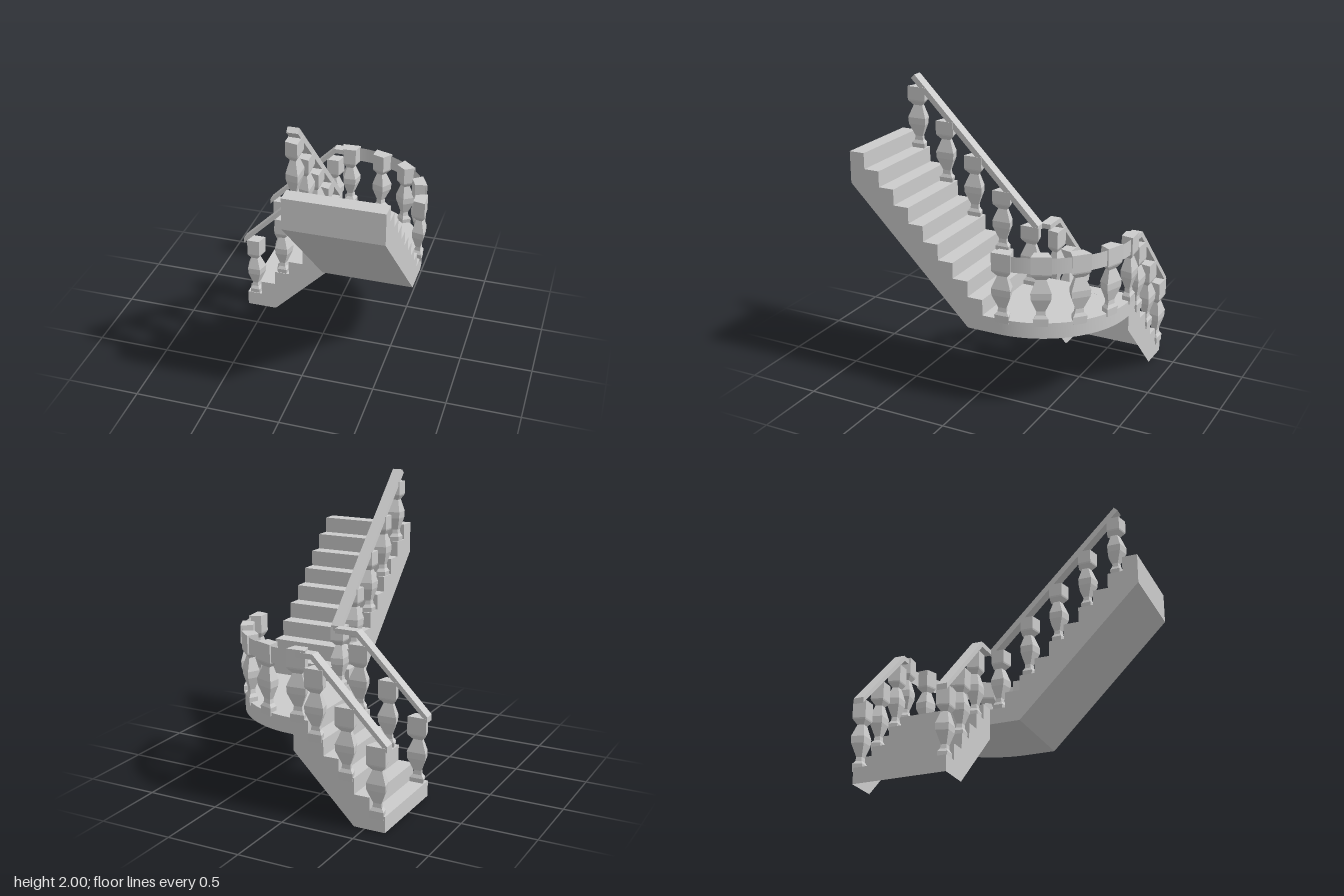
import * as THREE from 'three';
import { toCreasedNormals } from 'three/addons/utils/BufferGeometryUtils.js';

const STEP = 0.1066;           // rise and run of every step
const W = 0.64;                // stair width, also landing radius
const LAND = STEP * 6;         // landing height
const ZC = -0.204;             // centre line of the landing curve
const RAIL = 0.072;            // handrail width

const mat = new THREE.MeshStandardMaterial({ color: 0xcccccc, flatShading: true });
const thin = new THREE.MeshStandardMaterial({ color: 0xcccccc, flatShading: true, side: THREE.DoubleSide });
const smooth = new THREE.MeshStandardMaterial({ color: 0xcccccc });
const smoothThin = new THREE.MeshStandardMaterial({ color: 0xcccccc, side: THREE.DoubleSide });

function add(parent, name, geo, material = mat) {
  const m = new THREE.Mesh(geo, material);
  m.name = name;
  parent.add(m);
  return m;
}

const poly = pts => new THREE.Shape(pts.map(p => new THREE.Vector2(p[0], p[1])));
const prism = (pts, depth) => new THREE.ExtrudeGeometry(poly(pts), { depth, bevelEnabled: false });
// prism whose outline lies in (z, y) and which runs from x = 0 to x = depth
const prismX = (pts, depth) => prism(pts, depth).rotateY(-Math.PI / 2).translate(depth, 0, 0);

// zigzag of risers and treads
function zigzag(u0, y0, count) {
  const pts = [];
  for (let i = 0; i < count; i++) {
    const u = u0 + i * STEP, y = y0 + i * STEP;
    pts.push([u, y], [u, y + STEP]);
  }
  pts.push([u0 + count * STEP, y0 + count * STEP]);
  return pts;
}

// open sheet that carries an (x, y) line from z0 to z1
function sheet(pts, z0, z1) {
  const pos = [], idx = [];
  pts.forEach(([x, y], i) => {
    pos.push(x, y, z0, x, y, z1);
    const a = i * 2;
    if (i) idx.push(a - 2, a - 1, a + 1, a - 2, a + 1, a);
  });
  const g = new THREE.BufferGeometry();
  g.setAttribute('position', new THREE.Float32BufferAttribute(pos, 3));
  g.setIndex(idx);
  const flat = g.toNonIndexed();
  flat.computeVertexNormals();
  return flat;
}

// vase baluster with a wedge-shaped section, its narrow side facing +z
function balusterGeometry(top) {
  const profile = [[-0.022, 0.046], [0.03, 0.05], [0.052, 0.032], [0.08, 0.028], [0.165, 0.064],
    [0.21, 0.067], [0.295, 0.033], [0.325, 0.062], [0.335, 0.066], [top, 0.066]];
  const pos = [], idx = [];
  for (const [y, w] of profile) {
    const n = w * 0.68, d = w * 0.62;
    pos.push(-n, y, d, n, y, d, w, y, -d, -w, y, -d);
  }
  const last = (profile.length - 1) * 4;
  for (let r = 0; r < last; r += 4) {
    for (let i = 0; i < 4; i++) {
      const a = r + i, b = r + (i + 1) % 4;
      idx.push(a, b, b + 4, a, b + 4, a + 4);
    }
  }
  idx.push(0, 2, 1, 0, 3, 2, last, last + 1, last + 2, last, last + 2, last + 3);
  const g = new THREE.BufferGeometry();
  g.setAttribute('position', new THREE.Float32BufferAttribute(pos, 3));
  g.setIndex(idx);
  const flat = g.toNonIndexed();
  flat.computeVertexNormals();
  return flat;
}

export function createModel() {
  const model = new THREE.Group();
  model.name = 'staircase';
  const tall = balusterGeometry(0.452), short = balusterGeometry(0.424);
  const baluster = (name, geo, x, y, z, turn) => {
    const b = add(model, name, geo);
    b.position.set(x, y, z);
    b.rotation.y = turn;
  };

  // lower flight: hollow below, with two side boards
  const lowerSteps = zigzag(-W, 0, 6);
  add(model, 'lowerSteps', sheet(lowerSteps, ZC - W, ZC), thin);
  const sideBoard = new THREE.ShapeGeometry(poly([...lowerSteps, [0, LAND - 2 * STEP], [-4 * STEP, 0]]));
  for (const z of [ZC, ZC - W]) add(model, 'lowerSideBoard', sideBoard, thin).position.z = z;

  // quarter-round landing
  const plan = new THREE.Shape();
  plan.moveTo(0, ZC);
  plan.lineTo(0, ZC - W);
  plan.absarc(0, ZC, W, -Math.PI / 2, 0, false);
  const slab = new THREE.ExtrudeGeometry(plan, { depth: STEP, bevelEnabled: false, curveSegments: 16 });
  slab.rotateX(Math.PI / 2);
  add(model, 'landing', toCreasedNormals(slab, 0.5), smooth).position.y = LAND;

  // upper flight, solid with a sloping underside
  const z1 = ZC + STEP, zTop = z1 + 9 * STEP, yTop = LAND + 9 * STEP;
  add(model, 'upperFlight', prismX([
    [ZC, LAND], ...zigzag(z1, LAND, 9),
    [zTop, yTop - 2 * STEP], [z1 + STEP, LAND - STEP], [ZC, LAND - STEP],
  ], W));

  // lower handrails with a level end, and their balusters
  for (const [z, end] of [[-0.862, 0], [-0.274, 0.01]]) {
    add(model, 'lowerHandrail', prism([
      [-0.658, 0.53], [-0.14, 1.043], [end, 1.043], [end, 1.077], [-0.151, 1.077], [-0.658, 0.57],
    ], RAIL)).position.z = z;
    for (let i = 0; i < 3; i++) {
      baluster('lowerBaluster', tall, -W + (2 * i + 0.5) * STEP, (2 * i + 1) * STEP, z + 0.036, 0);
    }
  }

  // curved landing rail and its balusters
  add(model, 'landingRail', new THREE.CylinderGeometry(0.65, 0.65, 0.105, 20, 1, true, Math.PI / 2, Math.PI / 2),
    smoothThin).position.set(0, 1.028, ZC);
  for (let i = 0; i < 5; i++) {
    const a = THREE.MathUtils.degToRad(-3 + 22.5 * i);
    baluster('landingBaluster', tall, 0.618 * Math.sin(a), LAND, ZC - 0.618 * Math.cos(a), -a);
  }

  // upper handrail and its balusters
  add(model, 'upperHandrail', prismX([
    [-0.212, 1.075], [-0.212, 1.04], [-0.193, 1.04], [0.74, 1.973], [0.713, 2.0],
  ], RAIL));
  for (let i = 0; i < 5; i++) {
    baluster('upperBaluster', short, 0.034, LAND + 2 * i * STEP, ZC + (2 * i + 0.5) * STEP, -Math.PI / 2);
  }
  return model;
}
